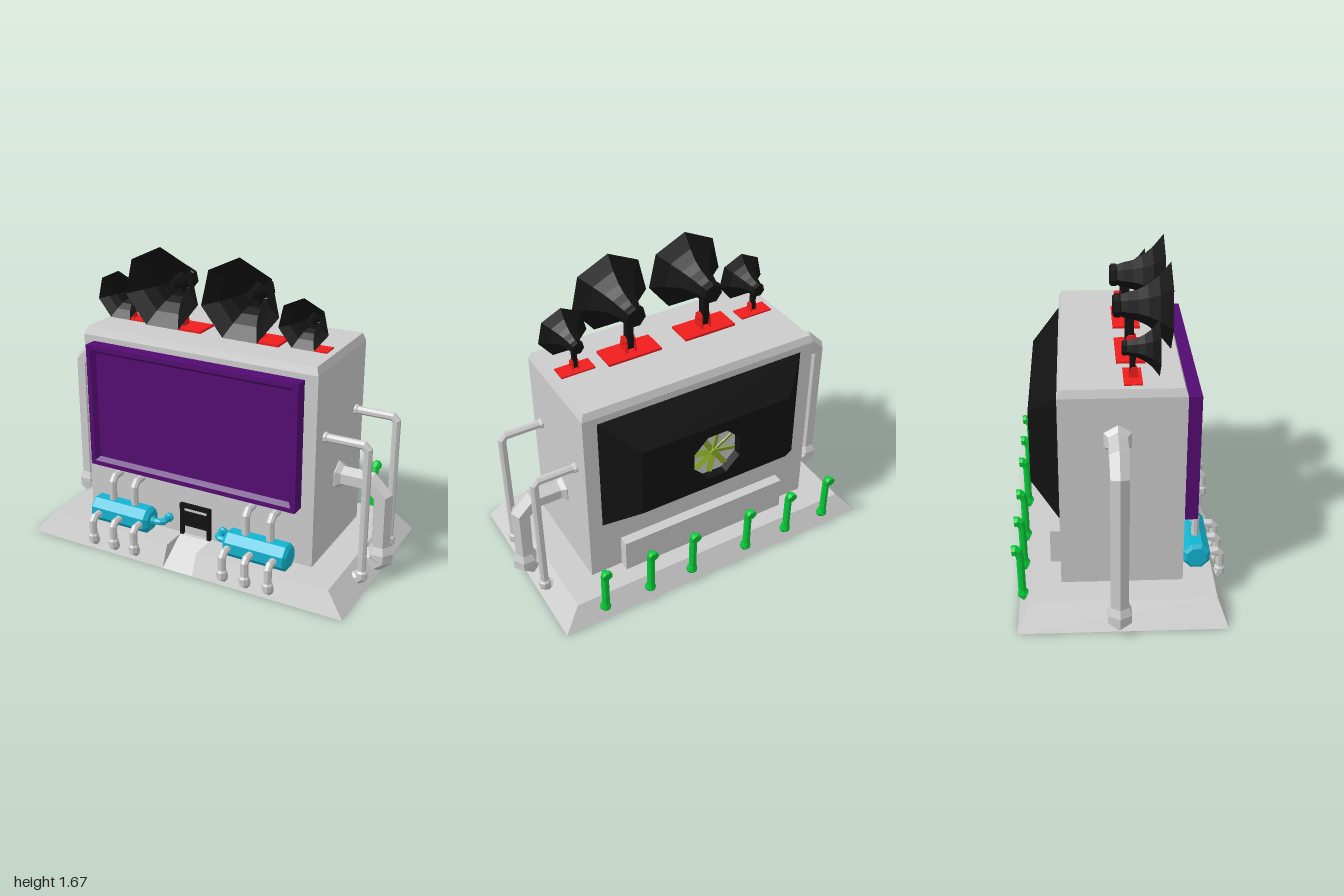
import * as THREE from 'three';

const V = (x, y, z) => new THREE.Vector3(x, y, z);
const paint = (color, side = THREE.FrontSide) =>
  new THREE.MeshStandardMaterial({ color, side, flatShading: true });
const grey = paint(0xcccccc), black = paint(0x121212), purple = paint(0x540b72);
const teal = paint(0x12b4d0), green = paint(0x08cc3a), red = paint(0xf01c1c), olive = paint(0x8fae2c);
const bellBlack = paint(0x121212, THREE.DoubleSide);

export function createModel() {
  const model = new THREE.Group();

  function add(name, geometry, material, x = 0, y = 0, z = 0, parent = model) {
    const mesh = new THREE.Mesh(geometry, material);
    mesh.name = name;
    mesh.position.set(x, y, z);
    parent.add(mesh);
    return mesh;
  }
  const box = (name, w, h, d, material, x, y, z, parent) =>
    add(name, new THREE.BoxGeometry(w, h, d), material, x, y, z, parent);

  // Skin over a list of rings, each running counter-clockwise about the path
  function loft(rings, capStart = true, capEnd = true) {
    const n = rings[0].length, out = [];
    const tri = (...p) => p.forEach(q => out.push(q.x, q.y, q.z));
    for (let k = 0; k + 1 < rings.length; k++) {
      for (let i = 0; i < n; i++) {
        const a = rings[k], b = rings[k + 1], j = (i + 1) % n;
        tri(a[i], a[j], b[j]);
        tri(a[i], b[j], b[i]);
      }
    }
    const first = rings[0], last = rings[rings.length - 1];
    for (let i = 1; i + 1 < n; i++) {
      if (capStart) tri(first[0], first[i + 1], first[i]);
      if (capEnd) tri(last[0], last[i], last[i + 1]);
    }
    const g = new THREE.BufferGeometry();
    g.setAttribute('position', new THREE.Float32BufferAttribute(out, 3));
    g.computeVertexNormals();
    return g;
  }
  const rect = (y, x0, x1, z0, z1) => [V(x0, y, z1), V(x1, y, z1), V(x1, y, z0), V(x0, y, z0)];

  // Mitred pipe through [x, y, z, radius] stations lying in the plane with normal n
  function pipe(name, stations, n, material, sides = 8) {
    const p = stations.map(s => V(s[0], s[1], s[2]));
    const rings = p.map((c, k) => {
      const d0 = p[Math.max(k, 1)].clone().sub(p[Math.max(k, 1) - 1]).normalize();
      const e = Math.min(k, p.length - 2);
      const d1 = p[e + 1].clone().sub(p[e]).normalize();
      const t = d0.clone().add(d1).normalize();
      const v = t.clone().cross(n).divideScalar(t.dot(d0));
      return Array.from({ length: sides }, (_, i) => {
        const a = (i + 0.5) / sides * Math.PI * 2, r = stations[k][3];
        return c.clone().addScaledVector(n, Math.cos(a) * r).addScaledVector(v, Math.sin(a) * r);
      });
    });
    return add(name, loft(rings), material);
  }
  const X = V(1, 0, 0), Y = V(0, 1, 0), Z = V(0, 0, 1);

  // Sloped base in two halves with an entry ramp between them
  add('baseRight', loft([rect(0, -0.94, -0.09, -0.525, 0.525), rect(0.115, -0.84, -0.09, -0.46, 0.475)]), grey);
  add('baseLeft', loft([rect(0, 0.09, 0.94, -0.525, 0.525), rect(0.115, 0.09, 0.84, -0.46, 0.475)]), grey);
  add('entryRamp', loft([rect(0, -0.09, 0.09, -0.525, 0.525), rect(0.115, -0.09, 0.09, -0.46, 0.34)]), grey);

  // Main housing with chamfered roof edge
  add('housing', loft([rect(0.11, -0.68, 0.68, -0.308, 0.315), rect(1.16, -0.68, 0.68, -0.308, 0.315),
    rect(1.2, -0.665, 0.665, -0.293, 0.3)]), grey);

  // Screen with a raised rim
  const screen = loft([rect(0.3, -0.62, 0.61, -1.13, -0.44), rect(0.39, -0.62, 0.61, -1.13, -0.44),
    rect(0.39, -0.595, 0.585, -1.105, -0.465), rect(0.365, -0.575, 0.565, -1.085, -0.485)]);
  add('screen', screen.rotateX(Math.PI / 2), purple);

  // Rear vent hood with an octagonal fan opening
  const hood = loft([rect(0.3, -0.61, 0.61, 0.44, 1.13), rect(0.457, -0.44, 0.44, 0.58, 0.98)], true, false);
  add('ventHood', hood.rotateX(-Math.PI / 2), black);
  const face = new THREE.Shape([[-0.44, -0.2], [0.44, -0.2], [0.44, 0.2], [-0.44, 0.2]]
    .map(q => new THREE.Vector2(...q)));
  face.holes.push(new THREE.Path(Array.from({ length: 8 }, (_, i) => {
    const a = -(i + 0.5) * Math.PI / 4;
    return new THREE.Vector2(Math.cos(a) * 0.15, Math.sin(a) * 0.15);
  })));
  add('ventFace', new THREE.ShapeGeometry(face).rotateY(Math.PI), black, 0, 0.78, -0.457);
  const well = new THREE.CylinderGeometry(0.15, 0.15, 0.08, 8, 1, true, Math.PI / 8).rotateX(Math.PI / 2);
  add('ventWell', well, bellBlack, 0, 0.78, -0.417);

  // Fan
  const fan = new THREE.Group();
  fan.name = 'fan';
  fan.position.set(0, 0.78, -0.4);
  model.add(fan);
  const disc = new THREE.CylinderGeometry(0.149, 0.149, 0.02, 8, 1, false, Math.PI / 8).rotateX(Math.PI / 2);
  add('fanDisc', disc, grey, 0, 0, 0, fan);
  add('fanHub', new THREE.CylinderGeometry(0.022, 0.022, 0.035, 8).rotateX(Math.PI / 2), olive, 0, 0, -0.015, fan);
  for (let i = 0; i < 8; i++) {
    const blade = new THREE.BoxGeometry(0.032, 0.11, 0.006).rotateY(0.4).translate(0, 0.075, -0.018);
    add('fanBlade', blade.rotateZ(i * Math.PI / 4 + 0.2), olive, 0, 0, 0, fan);
  }

  // Rear ledge
  box('rearLedge', 1.0, 0.195, 0.07, grey, 0, 0.2075, -0.33);

  // Doorway frame and shutter
  for (const s of [-1, 1]) box('doorPost', 0.018, 0.185, 0.03, black, s * 0.083, 0.2075, 0.32);
  box('doorLintel', 0.184, 0.022, 0.03, black, 0, 0.289, 0.32);
  box('doorShutter', 0.15, 0.085, 0.012, black, 0, 0.208, 0.318);
  for (let i = 0; i < 3; i++) box('shutterSlat', 0.156, 0.01, 0.02, black, 0, 0.175 + i * 0.033, 0.32);

  // Large side pipes, with wall flange and elbow foot
  for (const [s, y, z] of [[1, 0.51, 0.0], [-1, 0.94, -0.02]]) {
    pipe('largePipe', [[0.66, y, z, 0.078], [0.685, y, z, 0.078], [0.71, y, z, 0.055], [0.86, y, z, 0.055],
      [0.932, y - 0.07, z, 0.052], [0.935, 0.16, z, 0.05], [0.935, 0.12, z, 0.068], [0.935, 0.09, z, 0.068],
      [0.905, 0.062, z, 0.062], [0.84, 0.062, z, 0.06]].map(q => [q[0] * s, q[1], q[2], q[3]]), Z, grey, 6);
  }
  // Slim side pipes
  for (const z of [0.21, -0.2]) {
    pipe('slimPipe', [[0.66, 0.805, z, 0.028], [0.69, 0.805, z, 0.028], [0.70, 0.805, z, 0.022], [0.89, 0.805, z, 0.022],
      [0.912, 0.783, z, 0.022], [0.912, 0.11, z, 0.022], [0.912, 0.1, z, 0.032], [0.912, 0.075, z, 0.032],
      [0.895, 0.06, z, 0.03], [0.84, 0.06, z, 0.03]], Z, grey);
  }

  // Rear vent pipes
  for (const x of [-0.71, -0.45, -0.18, 0.17, 0.43, 0.7]) {
    pipe('rearVentPipe', [[x, 0.06, -0.44, 0.028], [x, 0.06, -0.485, 0.028], [x, 0.078, -0.505, 0.028],
      [x, 0.105, -0.507, 0.021], [x, 0.3, -0.51, 0.021], [x, 0.33, -0.52, 0.023], [x, 0.338, -0.535, 0.027],
      [x, 0.336, -0.55, 0.028]], X, green);
  }

  // Front tanks with their pipework
  for (const s of [-1, 1]) {
    const tank = [[0.595, 0.055], [0.58, 0.075], [0.25, 0.075], [0.23, 0.055]];
    pipe('tank', tank.map(q => [s * q[0], 0.188, 0.395, q[1]]), Y, teal, 8);
    pipe('tankNozzle', [[0.24, 0.188, 0.395, 0.032], [0.21, 0.188, 0.395, 0.017], [0.185, 0.188, 0.393, 0.017],
      [0.168, 0.188, 0.375, 0.019], [0.168, 0.188, 0.335, 0.019], [0.168, 0.188, 0.33, 0.026],
      [0.168, 0.188, 0.31, 0.026]].map(q => [q[0] * s, q[1], q[2], q[3]]), Y, teal);
    for (const x of [0.34, 0.48]) {
      pipe('tankRiser', [[s * x, 0.24, 0.395, 0.021], [s * x, 0.36, 0.395, 0.021], [s * x, 0.386, 0.37, 0.021],
        [s * x, 0.386, 0.3, 0.021]], X, grey);
    }
    for (const x of [0.27, 0.4, 0.532]) {
      pipe('tankDrain', [[s * x, 0.185, 0.44, 0.021], [s * x, 0.185, 0.505, 0.021], [s * x, 0.165, 0.525, 0.021],
        [s * x, 0.095, 0.525, 0.021], [s * x, 0.085, 0.525, 0.029], [s * x, 0.06, 0.525, 0.029],
        [s * x, 0.045, 0.508, 0.027], [s * x, 0.045, 0.46, 0.027]], X, grey);
    }
  }

  // Roof horns on swivel mounts
  function horn(x, size, zMount) {
    const g = new THREE.Group();
    g.name = 'horn';
    g.position.set(x, 1.2, zMount);
    g.scale.setScalar(size);
    model.add(g);
    box('mountPlate', 0.305, 0.014, 0.145, red, 0, 0.005, 0, g);
    // Tapered ears either side of the post
    const ear = new THREE.Shape();
    ear.moveTo(-0.038, 0).lineTo(0.038, 0).lineTo(0.026, 0.075).lineTo(0.012, 0.09)
      .lineTo(-0.012, 0.09).lineTo(-0.026, 0.075).closePath();
    for (const s of [-1, 1]) {
      const geo = new THREE.ExtrudeGeometry(ear, { depth: 0.012, bevelEnabled: false });
      add('mountEar', geo.translate(0, 0, -0.006).rotateY(Math.PI / 2), red, s * 0.024, 0.005, 0.008, g);
    }
    const pin = new THREE.CylinderGeometry(0.014, 0.014, 0.075, 6).rotateZ(Math.PI / 2);
    add('mountPin', pin, red, 0, 0.065, 0.008, g);
    box('hornPost', 0.034, 0.19, 0.045, black, 0, 0.125, 0, g);
    // Seven-sided flared bell facing forward
    const profile = [[0, -0.085], [0.05, -0.085], [0.062, -0.075], [0.062, -0.05], [0.056, -0.045], [0.068, -0.01],
      [0.08, 0.04], [0.105, 0.09], [0.15, 0.145], [0.222, 0.203]].map(q => new THREE.Vector2(...q));
    const bell = new THREE.LatheGeometry(profile, 7, Math.PI).rotateX(Math.PI / 2);
    add('hornBell', bell, bellBlack, 0, 0.25, 0, g);
    const plug = new THREE.CylinderGeometry(0.022, 0.05, 0.13, 7).rotateX(Math.PI / 2);
    add('hornPlug', plug, black, 0, 0.25, 0.03, g);
  }
  for (const s of [-1, 1]) {
    horn(s * 0.225, 1, 0.057);
    horn(s * 0.535, 0.62, 0.057);
  }

  return model;
}
